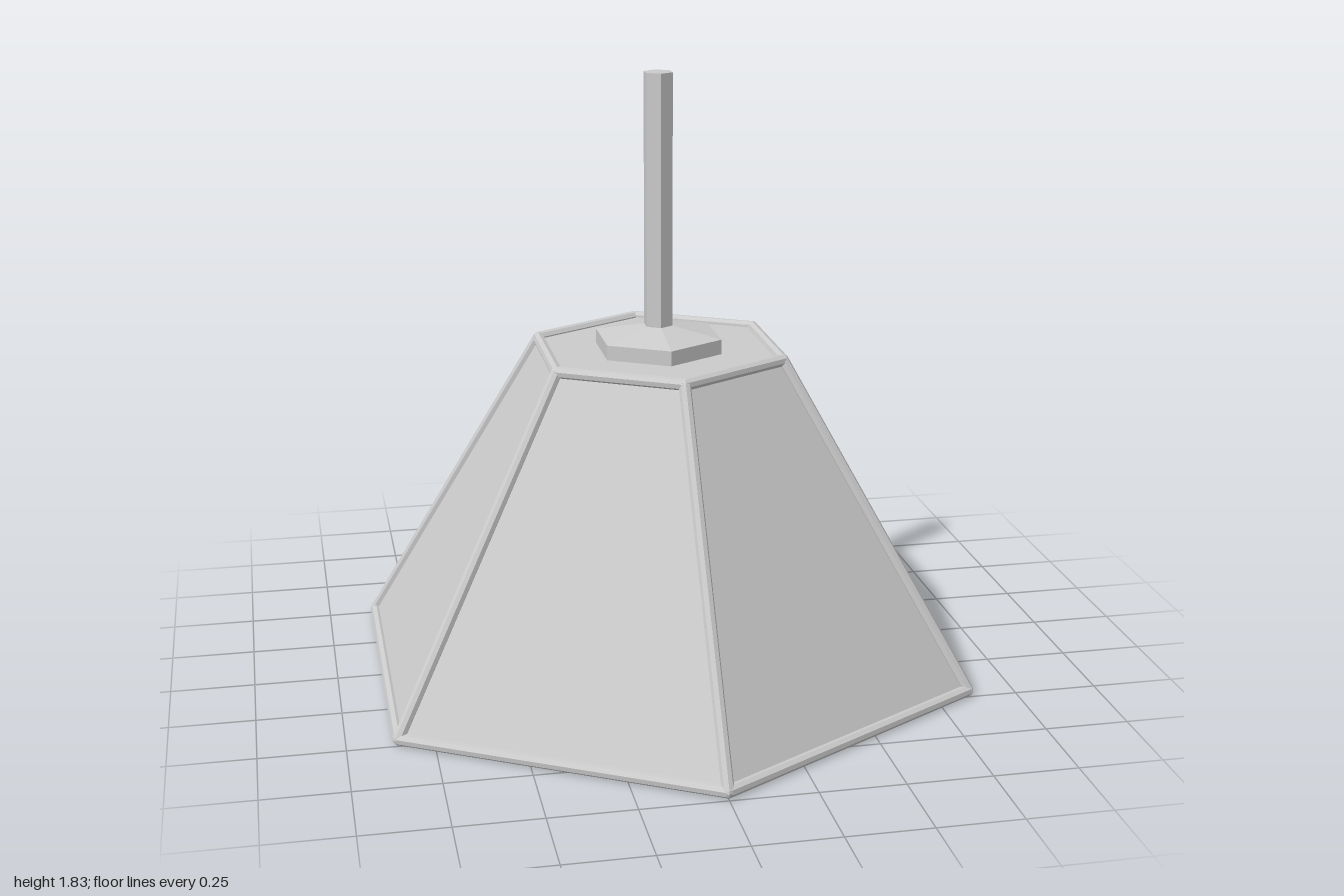
import * as THREE from 'three';

export function createModel() {
  const group = new THREE.Group();
  const mat = new THREE.MeshStandardMaterial({ color: 0xcccccc, flatShading: true });
  const thin = new THREE.MeshStandardMaterial({ color: 0xcccccc, flatShading: true, side: THREE.DoubleSide });

  const add = (name, geometry, y = 0, material = mat, parent = group) => {
    const mesh = new THREE.Mesh(geometry, material);
    mesh.name = name;
    mesh.position.y = y;
    parent.add(mesh);
    return mesh;
  };
  const corner = (i, r, y) => {
    const a = (i * Math.PI) / 3;
    return new THREE.Vector3(Math.sin(a) * r, y, Math.cos(a) * r);
  };

  // Six sloping shade panels, open below
  const R0 = 0.982, R1 = 0.39, Y0 = 0.018, Y1 = 0.994, BAR = 0.018;
  add('shadePanels', new THREE.CylinderGeometry(R1, R0, Y1 - Y0, 6, 1, true), (Y0 + Y1) / 2, thin);

  // Frame of rods along every edge, with rounded joints at the corners
  const frame = new THREE.Group();
  frame.name = 'frame';
  group.add(frame);
  const up = new THREE.Vector3(0, 1, 0);
  const rod = (name, a, b) => {
    const d = b.clone().sub(a);
    const mesh = add(name, new THREE.CylinderGeometry(BAR, BAR, d.length(), 8, 1, true), 0, mat, frame);
    mesh.position.copy(a).add(b).multiplyScalar(0.5);
    mesh.quaternion.setFromUnitVectors(up, d.normalize());
  };
  for (let i = 0; i < 6; i++) {
    const low = corner(i, R0, Y0), high = corner(i, R1, Y1);
    rod('bottomRod', low, corner(i + 1, R0, Y0));
    rod('topRod', high, corner(i + 1, R1, Y1));
    rod('cornerRod', low, high);
    for (const p of [low, high]) {
      add('frameJoint', new THREE.SphereGeometry(BAR, 8, 6), 0, mat, frame).position.copy(p);
    }
  }

  // Plate closing the top of the shade
  add('topPlate', new THREE.CylinderGeometry(0.385, 0.385, 0.02, 6), 0.985);

  // Cap with a shallow pitched top, and the hanging stem
  add('capBase', new THREE.CylinderGeometry(0.2, 0.2, 0.045, 6), 1.0175);
  add('capRoof', new THREE.CylinderGeometry(0.045, 0.2, 0.03, 6), 1.055);
  add('stem', new THREE.CylinderGeometry(0.045, 0.045, 0.78, 6), 1.44);

  // Hollow lamp holder inside the shade, stepped on its inside
  const holder = [[0.2, 0.98], [0.27, 0.9], [0.27, 0.53], [0.235, 0.53], [0.235, 0.58], [0.2, 0.58], [0.2, 0.92], [0, 0.92]]
    .map(([r, y]) => new THREE.Vector2(r, y));
  add('lampHolder', new THREE.LatheGeometry(holder, 12), 0, thin);

  return group;
}
